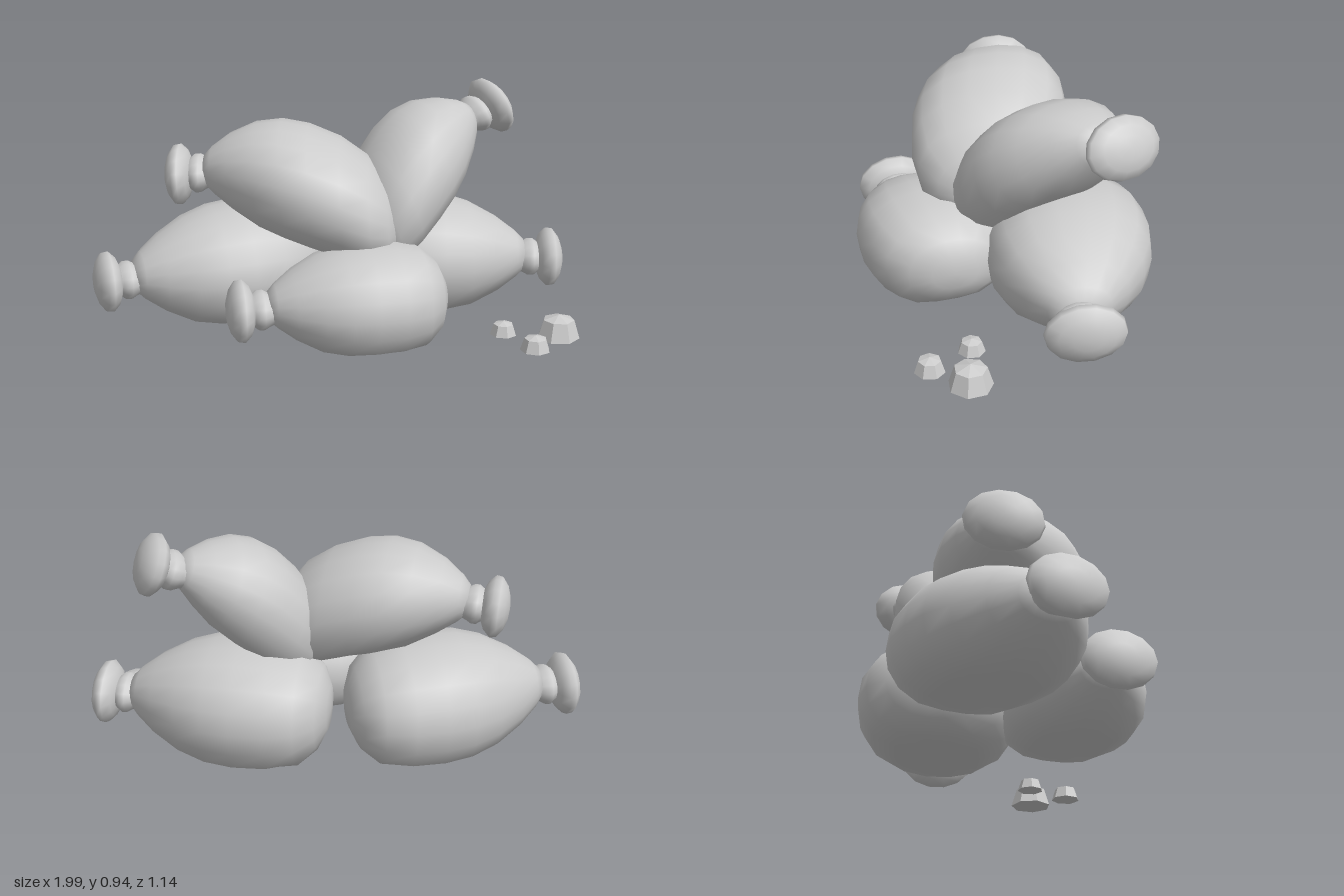
import * as THREE from 'three';
import { mergeVertices } from 'three/addons/utils/BufferGeometryUtils.js';

const rad = THREE.MathUtils.degToRad;

const sackCloth = new THREE.MeshStandardMaterial({ color: 0xcccccc });
sackCloth.name = 'sack grey';
const stone = new THREE.MeshStandardMaterial({ color: 0xcccccc, flatShading: true });
stone.name = 'stone grey';

// Turned solid lying along +x, from [distance along axis, radius] pairs
function turned(profile, segments) {
  const points = profile.map(([along, r]) => new THREE.Vector2(r, along));
  return new THREE.LatheGeometry(points, segments).rotateZ(-Math.PI / 2);
}

// Weld the seam and give smooth normals
function smooth(geometry) {
  geometry.deleteAttribute('uv');
  geometry.deleteAttribute('normal');
  const welded = mergeVertices(geometry, 1e-4);
  welded.computeVertexNormals();
  return welded;
}

// Filled body: blunt at one end, tapering to the neck, with a settled flat
// underside; its centre line rises, swerves and sags along the length
const LENGTH = 0.82, HALF_HEIGHT = 0.25, HALF_WIDTH = 0.335;
function bodyGeometry(centreLine) {
  const profile = [[0, 0], [0.008, 0.32], [0.05, 0.61], [0.14, 0.86], [0.28, 0.975], [0.44, 1],
    [0.58, 0.96], [0.72, 0.83], [0.86, 0.6], [0.96, 0.37], [1, 0.24], [1.01, 0]];
  const g = turned(profile.map(([u, r]) => [(u - 0.5) * LENGTH, r]), 18);
  const p = g.attributes.position;
  for (let i = 0; i < p.count; i++) {
    const x = p.getX(i), r = Math.hypot(p.getY(i), p.getZ(i));
    const [cy, cz] = centreLine(x);
    let y = 0, z = 0;
    if (r > 1e-6) {
      // slightly squared oval section
      const c = p.getY(i) / r, s = p.getZ(i) / r;
      const k = r / Math.pow(Math.abs(c) ** 2.3 + Math.abs(s) ** 2.3, 1 / 2.3);
      y = Math.max(c * k * HALF_HEIGHT, -0.206);
      z = s * k * HALF_WIDTH;
    }
    p.setXYZ(i, x, y + cy, z + cz);
  }
  return smooth(g);
}

// Gathered neck and the flared, cushion-like tuft beyond the tie
function neckGeometry() {
  const g = turned([[-0.03, 0.055], [0, 0.066], [0.02, 0.077], [0.04, 0.077], [0.055, 0.066], [0.08, 0.055]], 14);
  return smooth(g.scale(1, 1, 1.38));
}
function tuftGeometry() {
  const g = turned([[-0.058, 0], [-0.05, 0.055], [-0.033, 0.095], [-0.005, 0.122], [0.02, 0.118],
    [0.045, 0.085], [0.058, 0.045], [0.062, 0]], 14);
  return smooth(g.scale(1, 1, 1.3));
}

function createSack(name, { at, yaw, pitch = 0, roll = 0, rise = 0, swerve = 0, sag = 0, size }, neck, tuft) {
  const sack = new THREE.Group();
  sack.name = name;
  const add = (part, geometry, position, scale) => {
    const mesh = new THREE.Mesh(geometry, sackCloth);
    mesh.name = part;
    mesh.position.set(...position);
    mesh.scale.setScalar(scale);
    sack.add(mesh);
  };
  const centreLine = (x) => [rise * x - sag * x * x, swerve * x];
  const [endY, endZ] = centreLine(LENGTH / 2).map((v) => v * size);
  const endX = (LENGTH / 2) * size;
  add('body', bodyGeometry(centreLine), [0, 0, 0], size);
  add('neck', neck, [endX, endY - 0.015, endZ], 1);
  add('tuft', tuft, [endX + 0.105, endY - 0.015, endZ], 1);
  sack.position.set(...at);
  sack.rotation.set(rad(roll), rad(yaw), rad(pitch), 'YZX');
  return sack;
}

// Faceted pebble with a flat base
function createPebble(name, x, z, r, h, turn) {
  const outline = [[0, 0], [r, 0], [r * 0.73, h * 0.8], [0, h]].map(([a, b]) => new THREE.Vector2(a, b));
  const pebble = new THREE.Mesh(new THREE.LatheGeometry(outline, 7), stone);
  pebble.name = name;
  pebble.position.set(x, 0, z);
  pebble.rotation.y = turn;
  return pebble;
}

export function createModel() {
  const model = new THREE.Group();
  model.name = 'sackPile';
  const neck = neckGeometry(), tuft = tuftGeometry();

  const sacks = {
    backRightSack: { at: [-0.432, 0.213, -0.188], yaw: 189, swerve: -0.14, size: 1 },
    backLeftSack: { at: [0.425, 0.213, -0.222], yaw: -8, swerve: 0.08, size: 1 },
    frontSack: { at: [0.047, 0.192, 0.27], yaw: 182, swerve: -0.05, size: 0.875 },
    topRightSack: { at: [-0.14, 0.588, -0.05], yaw: 170, pitch: -4, roll: -6, rise: 0.3, swerve: 0.18, sag: 0.38, size: 0.96 },
    topLeftSack: { at: [0.335, 0.62, -0.135], yaw: 16, pitch: 22, rise: 0.32, swerve: -0.2, sag: 0.42, size: 0.85 },
  };
  for (const [name, pose] of Object.entries(sacks)) model.add(createSack(name, pose, neck, tuft));

  model.add(createPebble('largePebble', 0.868, 0.305, 0.087, 0.095, 0.3));
  model.add(createPebble('mediumPebble', 0.74, 0.43, 0.061, 0.062, 0.9));
  model.add(createPebble('smallPebble', 0.655, 0.245, 0.055, 0.055, 0.1));
  return model;
}
